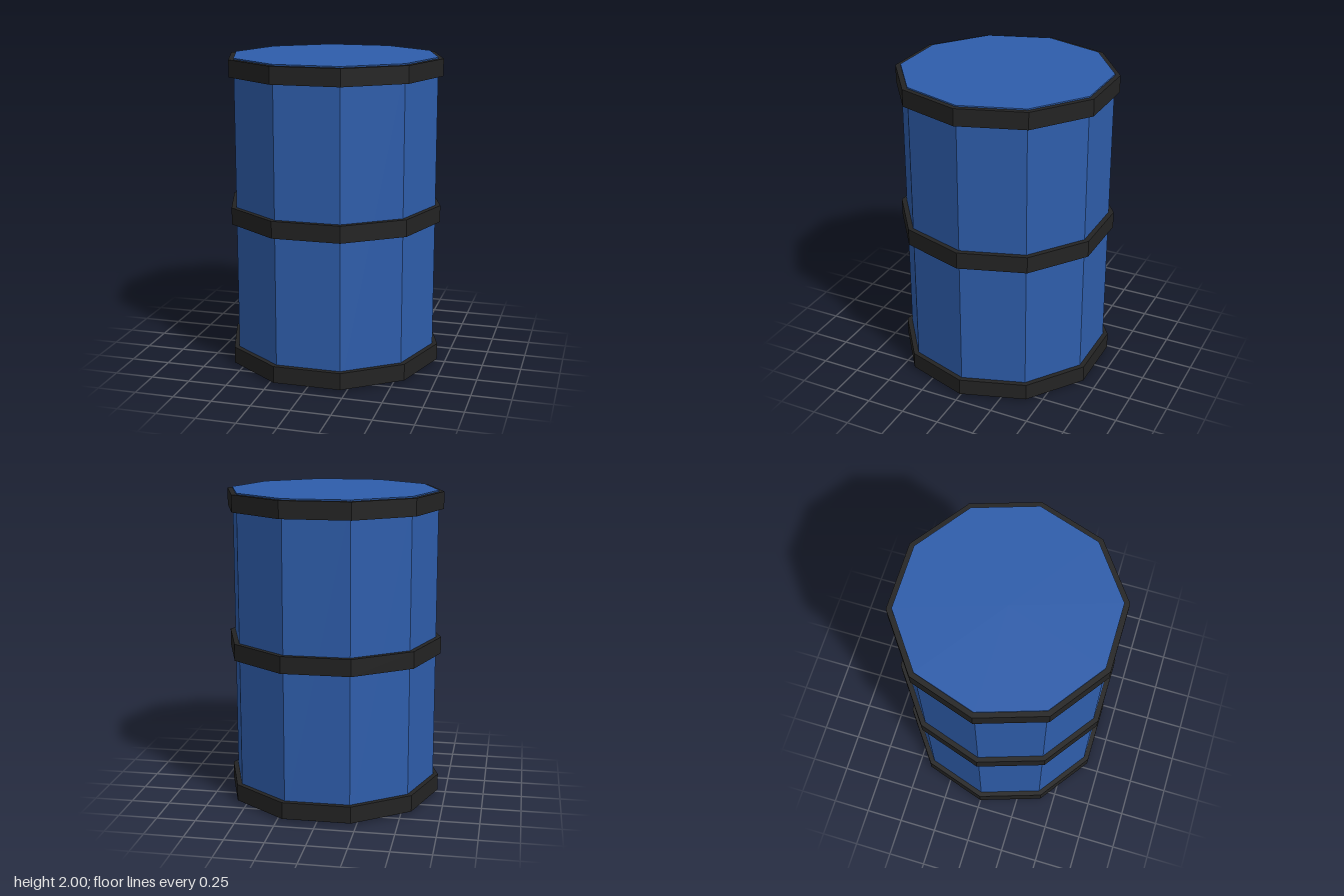
import * as THREE from 'three';

const SIDES = 10;

export function createModel() {
  const model = new THREE.Group();
  model.name = 'barrel';

  const blue = new THREE.MeshStandardMaterial({ color: 0x2e5dab, flatShading: true });
  blue.name = 'blue paint';
  const black = new THREE.MeshStandardMaterial({ color: 0x232323, flatShading: true });
  black.name = 'black band';

  // Ten-sided prism with corners on the x axis
  const addPrism = (name, radius, height, y, material) => {
    const geometry = new THREE.CylinderGeometry(radius, radius, height, SIDES, 1, false, Math.PI / 2);
    const mesh = new THREE.Mesh(geometry, material);
    mesh.name = name;
    mesh.position.y = y;
    model.add(mesh);
  };

  // Drum body with closed lid and base
  addPrism('body', 0.665, 2, 1, blue);

  // Raised bands around the bottom, middle and top
  const bands = { bottomBand: 0.068, middleBand: 1.004, topBand: 1.938 };
  for (const [name, y] of Object.entries(bands)) addPrism(name, 0.698, 0.108, y, black);

  return model;
}
